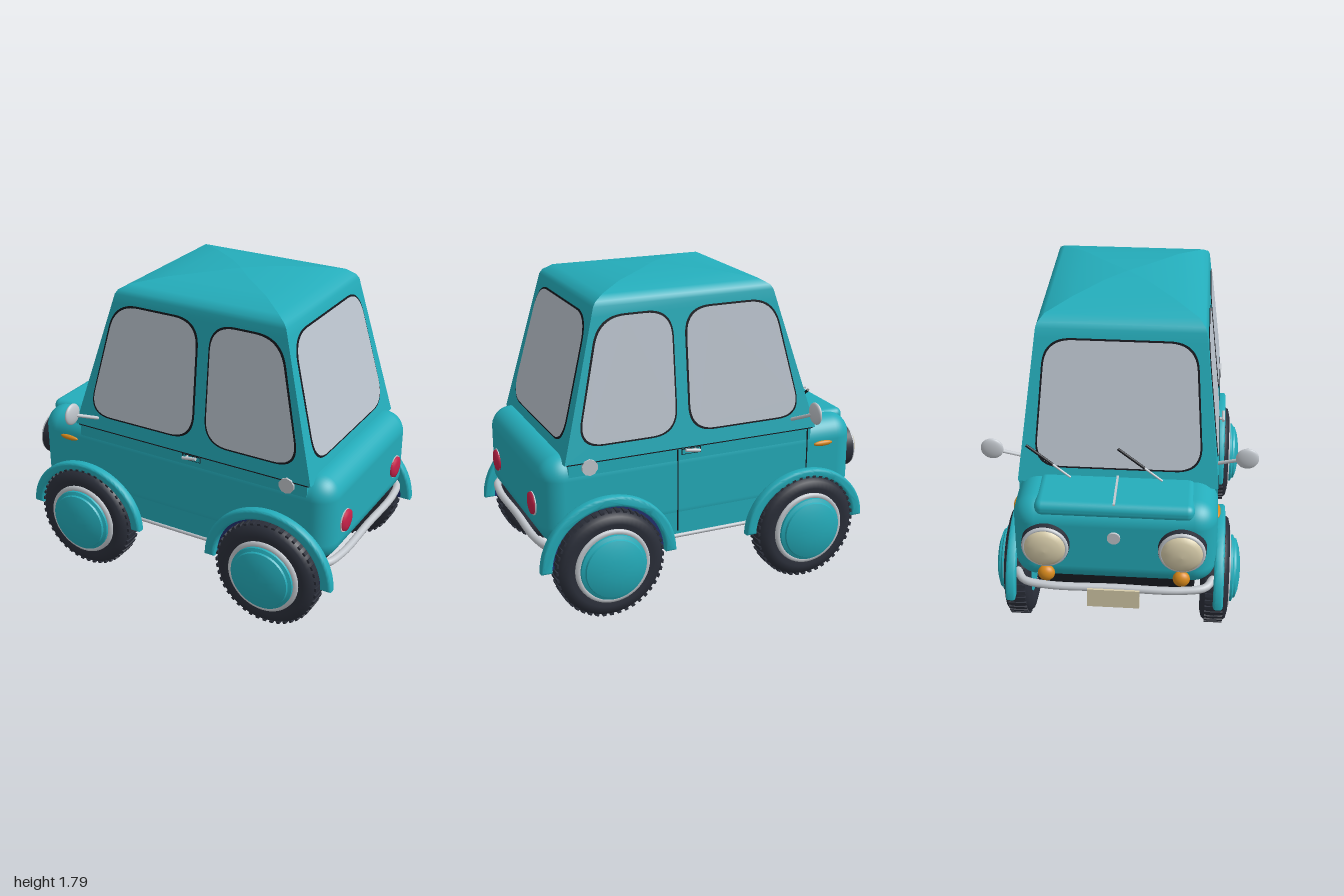
import * as THREE from 'three';
import { RoundedBoxGeometry } from 'three/addons/geometries/RoundedBoxGeometry.js';
import { toCreasedNormals } from 'three/addons/utils/BufferGeometryUtils.js';

const mat = (name, color, side = THREE.FrontSide) => {
  const m = new THREE.MeshStandardMaterial({ color, side });
  m.name = name;
  return m;
};
const teal = mat('teal paint', 0x24adbb), glass = mat('glass', 0xbcc5cf), rubber = mat('rubber', 0x2b2f3a),
  chrome = mat('chrome', 0xc3c8ce), black = mat('black trim', 0x16181e), cream = mat('cream', 0xd8cdab),
  orange = mat('orange', 0xd98a1c), red = mat('red', 0xc8224a), navy = mat('navy', 0x22306e, THREE.DoubleSide);

const V = (x, y, z) => new THREE.Vector3(x, y, z);

export function createModel() {
  const car = new THREE.Group();
  car.name = 'smallCar';

  const add = (name, geo, m, x = 0, y = 0, z = 0, parent = car) => {
    const mesh = new THREE.Mesh(geo, m);
    mesh.name = name;
    mesh.position.set(x, y, z);
    parent.add(mesh);
    return mesh;
  };
  const lathe = (pts, seg = 48) => new THREE.LatheGeometry(pts.map(p => new THREE.Vector2(...p)), seg);
  const tube = (pts, r, seg = 32) => new THREE.TubeGeometry(new THREE.CatmullRomCurve3(pts), seg, r, 10);
  const rod = (name, a, b, r, m) => {
    const d = b.clone().sub(a), mesh = add(name, new THREE.CylinderGeometry(r, r, d.length(), 10), m);
    mesh.position.copy(a).addScaledVector(d, 0.5);
    mesh.quaternion.setFromUnitVectors(V(0, 1, 0), d.normalize());
  };

  // Lower body, side panels, hood and floor
  add('body', new RoundedBoxGeometry(1.88, 0.5, 1.08, 6, 0.12), teal, 0.02, 0.67);
  add('sidePanels', new THREE.BoxGeometry(1.44, 0.51, 1.076), teal, 0.1, 0.645);
  add('hood', new RoundedBoxGeometry(0.34, 0.09, 0.84, 4, 0.04), teal, -0.74, 0.885);
  add('hoodStrip', new THREE.BoxGeometry(0.27, 0.01, 0.012), chrome, -0.765, 0.934);
  add('floor', new RoundedBoxGeometry(1.66, 0.11, 0.86, 3, 0.025), black, 0.02, 0.375);

  // Cabin and mitred roof: rectangular rings [y, front x, rear x, half width]
  const rings = [[0.89, -0.65, 0.84, 0.54], [1.64, -0.421, 0.645, 0.454], [1.69, -0.406, 0.632, 0.448],
    [1.715, -0.39, 0.615, 0.438], [1.745, -0.34, 0.565, 0.405], [1.774, -0.18, 0.42, 0.27],
    [1.789, 0, 0.24, 0.12], [1.795, 0.119, 0.121, 0.001]];
  const pos = [], idx = [];
  for (let side = 0; side < 4; side++) {
    const base = pos.length / 3;
    rings.forEach(([y, x0, x1, w], i) => {
      const c = [[x0, w], [x1, w], [x1, -w], [x0, -w]];
      const a = c[side], b = c[(side + 1) % 4];
      pos.push(a[0], y, a[1], b[0], y, b[1]);
      if (i) {
        const k = base + i * 2;
        idx.push(k - 2, k - 1, k + 1, k - 2, k + 1, k);
      }
    });
  }
  const cabin = new THREE.BufferGeometry();
  cabin.setAttribute('position', new THREE.Float32BufferAttribute(pos, 3));
  cabin.setIndex(idx);
  cabin.computeVertexNormals();
  add('cabin', cabin, teal);

  // Rounded flat plate through four corners (bottom pair first, seen from outside)
  const plate = (name, m, corners, r, grow, lift) => {
    const o = corners[0], u = corners[1].clone().sub(o).normalize();
    const n = u.clone().cross(corners[3].clone().sub(o)).normalize(), v = n.clone().cross(u);
    const mid = corners.reduce((s, c) => s.add(c), V(0, 0, 0)).multiplyScalar(0.25);
    const p = corners.map(c => {
      const d = c.clone().sub(mid), x = d.dot(u), y = d.dot(v);
      return new THREE.Vector2(x + Math.sign(x) * grow, y + Math.sign(y) * grow);
    });
    const s = new THREE.Shape();
    p.forEach((c, i) => {
      const a = c.clone().add(p[(i + 3) % 4].clone().sub(c).setLength(r));
      const b = c.clone().add(p[(i + 1) % 4].clone().sub(c).setLength(r));
      if (i) s.lineTo(a.x, a.y); else s.moveTo(a.x, a.y);
      s.quadraticCurveTo(c.x, c.y, b.x, b.y);
    });
    s.closePath();
    const g = new THREE.ShapeGeometry(s, 12);
    g.applyMatrix4(new THREE.Matrix4().makeBasis(u, v, n).setPosition(mid.addScaledVector(n, lift)));
    add(name, g, m);
  };
  const windowPane = (name, corners) => {
    plate(name + 'Seal', black, corners, 0.15, 0.01, 0.003);
    plate(name, glass, corners, 0.145, 0, 0.007);
  };
  const wallZ = y => 0.54 - (y - 0.89) * 0.1147;
  const frontX = y => -0.65 + (y - 0.89) * 0.305;
  const rearX = y => 0.84 - (y - 0.89) * 0.26;
  const lo = 0.98, hi = 1.635;
  for (const s of [1, -1]) {
    const quad = (a, b, c, d) => {
      const q = [V(a, lo, s * wallZ(lo)), V(b, lo, s * wallZ(lo)), V(c, hi, s * wallZ(hi)), V(d, hi, s * wallZ(hi))];
      return s > 0 ? q : [q[1], q[0], q[3], q[2]];
    };
    windowPane('frontSideWindow', quad(-0.55, 0.12, 0.12, -0.395));
    windowPane('rearSideWindow', quad(0.205, 0.76, 0.605, 0.205));
  }
  windowPane('windscreen', [V(frontX(lo), lo, -0.445), V(frontX(lo), lo, 0.445), V(frontX(hi), hi, 0.395), V(frontX(hi), hi, -0.395)]);
  windowPane('rearWindow', [V(rearX(lo), lo, 0.445), V(rearX(lo), lo, -0.445), V(rearX(hi), hi, -0.395), V(rearX(hi), hi, 0.395)]);

  // Wheels, built facing +z and turned for the other side
  const tyreGeo = lathe([[0.18, -0.06], [0.24, -0.077], [0.28, -0.067], [0.3, -0.04], [0.304, 0], [0.3, 0.04],
    [0.28, 0.067], [0.24, 0.077], [0.18, 0.06]], 56).rotateX(Math.PI / 2);
  const ringGeo = lathe([[0.212, 0.068], [0.21, 0.084], [0.188, 0.086], [0.18, 0.07]]).rotateX(Math.PI / 2);
  const hubGeo = toCreasedNormals(lathe([[0.19, 0.06], [0.186, 0.098], [0.168, 0.106], [0.164, 0.117], [0.12, 0.132],
    [0.06, 0.141], [0, 0.144]]).rotateX(Math.PI / 2), 0.7);
  const rimGeo = new THREE.CylinderGeometry(0.2, 0.2, 0.11, 40).rotateX(Math.PI / 2);
  const treadGeo = new THREE.BoxGeometry(0.02, 0.012, 0.1);
  const wheel = (x, s) => {
    const g = new THREE.Group();
    g.name = 'wheel';
    g.position.set(x, 0.31, 0.54 * s);
    if (s < 0) g.rotation.y = Math.PI;
    add('tyre', tyreGeo, rubber, 0, 0, 0, g);
    add('rim', rimGeo, teal, 0, 0, 0, g);
    add('rimRing', ringGeo, chrome, 0, 0, 0, g);
    add('hubcap', hubGeo, teal, 0, 0, 0, g);
    for (let i = 0; i < 44; i++) {
      const a = i / 44 * Math.PI * 2;
      add('treadBlock', treadGeo, rubber, Math.cos(a) * 0.302, Math.sin(a) * 0.302, 0, g).rotation.z = a - Math.PI / 2;
    }
    car.add(g);
  };

  // Arched fender of flattened section
  const fender = (x, rx, ry, ix, iy, s) => {
    const shape = new THREE.Shape();
    shape.absellipse(0, 0, rx, ry, 0, Math.PI, false);
    shape.absellipse(0, 0, ix, iy, Math.PI, 0, true);
    const g = new THREE.ExtrudeGeometry(shape, { depth: 0.028, curveSegments: 32, bevelThickness: 0.013,
      bevelSize: 0.015, bevelOffset: -0.015, bevelSegments: 3 });
    add('fender', toCreasedNormals(g, 0.8), teal, x, 0.315, 0.56 * s - 0.014);
  };

  for (const s of [1, -1]) {
    wheel(-0.585, s);
    wheel(0.612, s);
    fender(-0.585, 0.375, 0.338, 0.315, 0.285, s);
    fender(0.612, 0.387, 0.378, 0.325, 0.32, s);
    add('wheelWell', new THREE.CircleGeometry(0.33, 32, 0, Math.PI), navy, 0.612, 0.315, 0.542 * s);
    rod('sillTube', V(-0.32, 0.375, 0.53 * s), V(0.34, 0.375, 0.53 * s), 0.012, chrome);

    // Side fittings
    rod('fuelCap', V(0.705, 0.865, 0.5 * s), V(0.705, 0.865, 0.55 * s), 0.045, chrome);
    add('sideMarker', new THREE.SphereGeometry(1, 24, 12), orange, -0.705, 0.785, 0.54 * s).scale.set(0.06, 0.016, 0.015);
    add('beltLine', new THREE.BoxGeometry(1.46, 0.005, 0.006), black, 0.1, 0.89, 0.539 * s);
    add('handleRecess', new THREE.BoxGeometry(0.115, 0.032, 0.008), black, 0.122, 0.868, 0.537 * s);
    add('handlePlate', new THREE.BoxGeometry(0.105, 0.024, 0.008), teal, 0.122, 0.868, 0.539 * s);
    rod('doorHandle', V(0.08, 0.872, 0.565 * s), V(0.165, 0.885, 0.565 * s), 0.009, chrome);
    rod('handlePost', V(0.1, 0.874, 0.53 * s), V(0.1, 0.874, 0.565 * s), 0.008, chrome);
    rod('mirrorStalk', V(-0.5, 0.955, 0.53 * s), V(-0.55, 1.02, 0.67 * s), 0.01, chrome);
    const mirror = add('mirror', new THREE.SphereGeometry(1, 28, 16), chrome, -0.558, 1.03, 0.687 * s);
    mirror.scale.set(0.02, 0.062, 0.062);

    // Lamps
    const toFront = g => g.rotateZ(Math.PI / 2);
    add('headlightBase', toFront(new THREE.CylinderGeometry(0.126, 0.13, 0.06, 40)), rubber, -0.92, 0.685, 0.36 * s);
    add('headlightRim', new THREE.TorusGeometry(0.112, 0.013, 10, 40).rotateY(Math.PI / 2), chrome, -0.952, 0.685, 0.36 * s);
    add('headlightLens', toFront(lathe([[0.112, 0], [0.108, 0.02], [0.085, 0.036], [0.045, 0.047], [0, 0.05]], 40)),
      cream, -0.95, 0.685, 0.36 * s);
    add('turnSignal', new THREE.SphereGeometry(1, 24, 14), orange, -0.935, 0.5, 0.36 * s).scale.set(0.036, 0.046, 0.046);
    add('tailLightRim', toFront(new THREE.CylinderGeometry(0.066, 0.066, 0.03, 32)), chrome, 0.95, 0.63, 0.345 * s);
    add('tailLight', lathe([[0.063, 0], [0.06, 0.014], [0.035, 0.02], [0, 0.022]], 32).rotateZ(-Math.PI / 2),
      red, 0.96, 0.63, 0.34 * s);
  }

  // Bumpers, number plate and nose badge
  const bumper = (name, x, d) => add(name, tube([V(x - d * 0.1, 0.44, -0.53), V(x - d * 0.03, 0.43, -0.49),
    V(x, 0.425, -0.36), V(x, 0.425, 0), V(x, 0.425, 0.36), V(x - d * 0.03, 0.43, 0.49), V(x - d * 0.1, 0.44, 0.53)], 0.022, 48), chrome);
  bumper('rearBumper', 0.955, 1);
  bumper('frontBumper', -0.945, -1);
  add('numberPlate', new THREE.BoxGeometry(0.012, 0.115, 0.28), cream, -0.973, 0.375);
  add('noseBadge', new THREE.CylinderGeometry(0.035, 0.035, 0.02, 24).rotateZ(Math.PI / 2), chrome, -0.922, 0.74);

  // Wipers: light arm below, dark blade above
  for (const z of [-0.25, 0.24]) {
    const a = V(-0.67, 0.94, z), b = V(-0.622, 1.1, z - 0.24), m = a.clone().lerp(b, 0.4);
    rod('wiperArm', a, m, 0.006, chrome);
    rod('wiperBlade', m, b, 0.008, black);
  }

  // Door seam on the far side
  add('doorSeamRear', new THREE.BoxGeometry(0.007, 0.48, 0.006), black, 0.2, 0.65, -0.538);
  add('doorSeamFront', new THREE.BoxGeometry(0.007, 0.4, 0.006), black, -0.6, 0.69, -0.538);
  return car;
}
